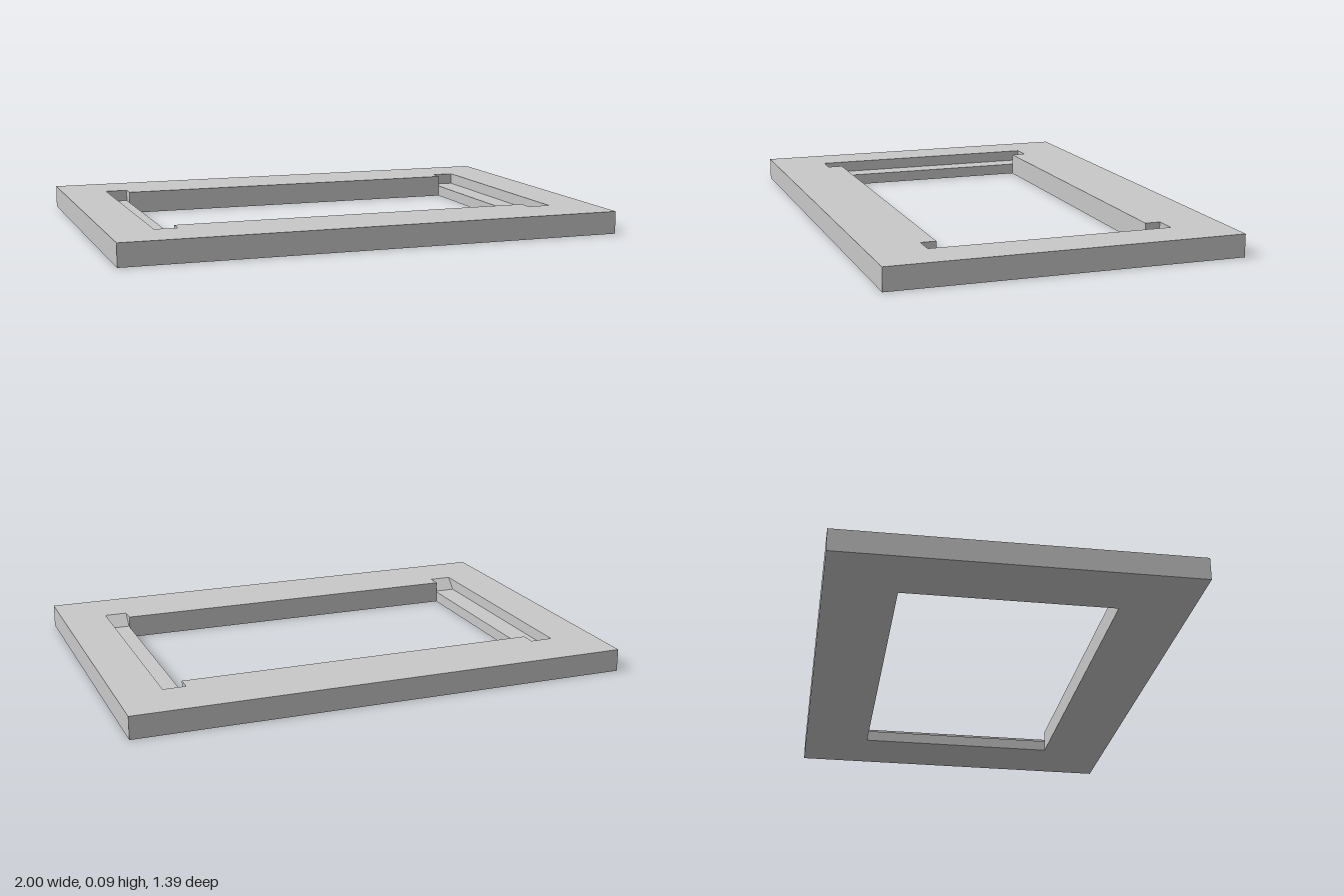
import * as THREE from 'three';

// Half sizes and heights
const W = 1, D = 0.697, H = 0.09;       // outer frame
const IX = 0.728, IZ = 0.418;           // through opening
const RX = 0.818, R = 0.479;            // side slots: outer x, end z
const LEDGE = 0.045, RAMP = 0.432;      // slot floor height, foot of the ramp

// Horizontal slab from y0 to y1 with one hole given as [x, z] points
function slab(hole, y0, y1) {
  const outline = [[-W, D], [W, D], [W, -D], [-W, -D]];
  const points = (list) => list.map(([x, z]) => new THREE.Vector2(x, -z));
  const shape = new THREE.Shape(points(outline));
  shape.holes.push(new THREE.Path(points(hole)));
  const geometry = new THREE.ExtrudeGeometry(shape, { depth: y1 - y0, bevelEnabled: false });
  return geometry.rotateX(-Math.PI / 2).translate(0, y0, 0);
}

export function createModel() {
  const group = new THREE.Group();
  const grey = new THREE.MeshStandardMaterial({ color: 0xc8c8c8 });
  grey.name = 'grey';
  const add = (name, geometry) => {
    const mesh = new THREE.Mesh(geometry, grey);
    mesh.name = name;
    group.add(mesh);
  };

  // Lower layer: plain rectangular opening, forms the slot floors
  add('lowerFrame', slab([[-IX, -IZ], [IX, -IZ], [IX, IZ], [-IX, IZ]], 0, LEDGE));

  // Upper layer: opening widened by a slot along each side
  add('upperFrame', slab([
    [-RX, -R], [-IX, -R], [-IX, -IZ], [IX, -IZ], [IX, -R], [RX, -R],
    [RX, R], [IX, R], [IX, IZ], [-IX, IZ], [-IX, R], [-RX, R],
  ], LEDGE, H));

  // Ramps at the front end of both slots
  const profile = new THREE.Shape([
    new THREE.Vector2(-RAMP, LEDGE), new THREE.Vector2(-R, H), new THREE.Vector2(-R, LEDGE),
  ]);
  for (const [name, x] of [['leftSlotRamp', IX], ['rightSlotRamp', -RX]]) {
    const ramp = new THREE.ExtrudeGeometry(profile, { depth: RX - IX, bevelEnabled: false });
    add(name, ramp.rotateY(Math.PI / 2).translate(x, 0, 0));
  }
  return group;
}
